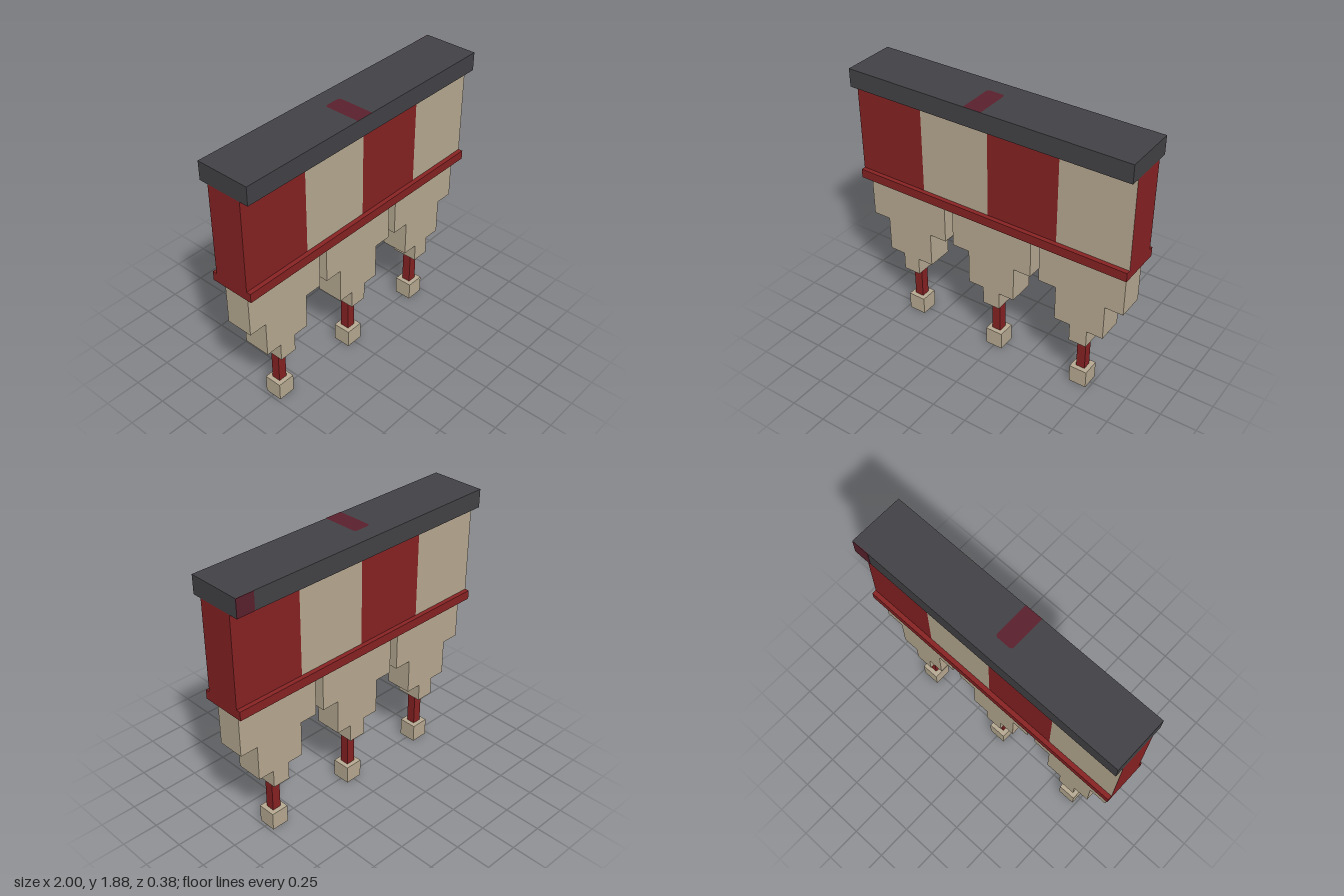
import * as THREE from 'three';

const mat = (name, hex) => {
  const m = new THREE.MeshStandardMaterial({ color: hex });
  m.name = name;
  return m;
};

export function createModel() {
  const model = new THREE.Group();
  model.name = 'valance';
  const red = mat('red', 0x882223);
  const tan = mat('tan', 0xb9ab93);
  const charcoal = mat('charcoal', 0x434246);
  const maroon = mat('maroon', 0x5a202d);

  // Box spanning y0..y1, centred on x and z
  const box = (parent, name, material, w, y0, y1, d, x = 0, z = 0) => {
    const mesh = new THREE.Mesh(new THREE.BoxGeometry(w, y1 - y0, d), material);
    mesh.position.set(x, (y0 + y1) / 2, z);
    mesh.name = name;
    parent.add(mesh);
    return mesh;
  };

  // Top beam and bottom ledge
  box(model, 'topBeam', charcoal, 2, 1.755, 1.88, 0.375);
  box(model, 'ledge', red, 2, 1.065, 1.128, 0.312);

  // Striped wall: four columns alternate on the front and back, ends are red
  const wallGeo = new THREE.BoxGeometry(2, 0.627, 0.25, 4, 1, 1);
  wallGeo.clearGroups();
  wallGeo.addGroup(0, 60, 0); // ends, top and bottom
  for (let i = 0; i < 8; i++) wallGeo.addGroup(60 + i * 6, 6, i % 2);
  const wall = new THREE.Mesh(wallGeo, [red, tan]);
  wall.position.y = 1.4415;
  wall.name = 'stripedWall';
  model.add(wall);

  // Painted marks on the beam: a rounded tab on top and a patch on the back
  const tab = new THREE.Shape();
  tab.moveTo(-0.125, -0.1875);
  tab.lineTo(0, -0.1875);
  tab.lineTo(0, 0.04);
  tab.quadraticCurveTo(0, 0.065, -0.025, 0.065);
  tab.lineTo(-0.1, 0.065);
  tab.quadraticCurveTo(-0.125, 0.065, -0.125, 0.04);
  const topMark = new THREE.Mesh(new THREE.ShapeGeometry(tab), maroon);
  topMark.rotation.x = -Math.PI / 2;
  topMark.position.y = 1.882;
  topMark.name = 'topMark';
  model.add(topMark);
  box(model, 'backMark', maroon, 0.125, 1.755, 1.88, 0.004, 0.9375, -0.1875);

  // Three stepped pendants, each with a rod and a cube weight
  for (const x of [-0.667, 0, 0.667]) {
    const pendant = new THREE.Group();
    pendant.name = 'pendant';
    pendant.position.x = x;
    box(pendant, 'upperStep', tan, 0.604, 0.755, 1.065, 0.1875);
    box(pendant, 'middleStep', tan, 0.352, 0.505, 0.755, 0.1875);
    box(pendant, 'lowerStep', tan, 0.125, 0.378, 0.505, 0.1875);
    box(pendant, 'rod', red, 0.0625, 0.127, 0.378, 0.0625);
    box(pendant, 'weight', tan, 0.125, 0, 0.127, 0.125);
    model.add(pendant);
  }
  return model;
}
